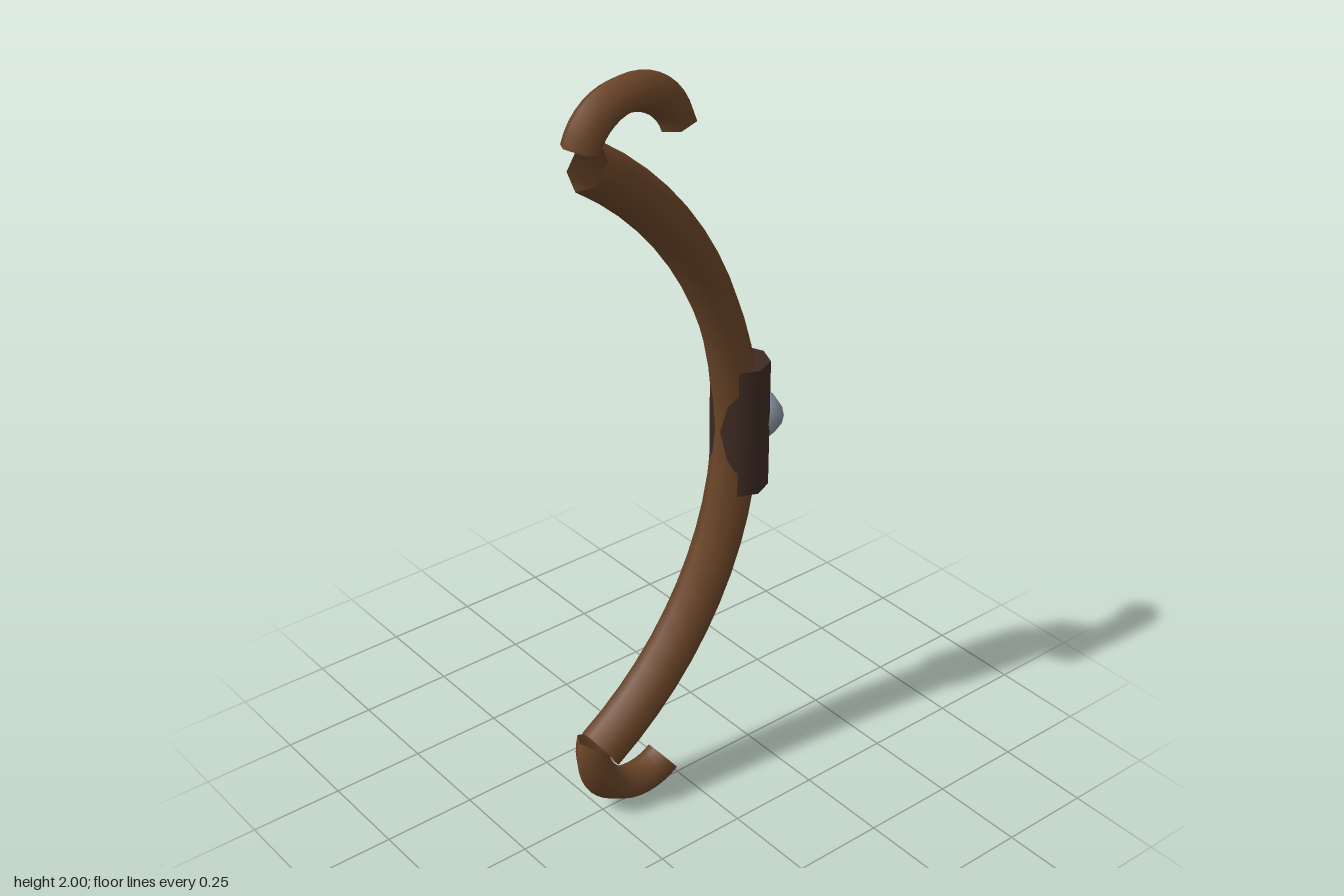
import * as THREE from 'three';

const wood = new THREE.MeshStandardMaterial({ color: 0x6b4528, side: THREE.DoubleSide });
const leather = new THREE.MeshStandardMaterial({ color: 0x3e2a22 });
const stone = new THREE.MeshStandardMaterial({ color: 0x8a93a0 });

const MID = 1.005; // height of the grip

export function createModel() {
  const group = new THREE.Group();

  const add = (name, geometry, material, x, y) => {
    const mesh = new THREE.Mesh(geometry, material);
    mesh.name = name;
    mesh.position.set(x, y, 0);
    group.add(mesh);
    return mesh;
  };

  // Hexagonal open-ended arc in the xy plane, starting at the given angle
  const addArc = (name, x, y, radius, tube, segments, start, sweep) => {
    const mesh = add(name, new THREE.TorusGeometry(radius, tube, 6, segments, sweep), wood, x, y);
    mesh.rotation.z = start;
  };

  // Curved bow stave
  addArc('stave', -0.77, MID, 0.956, 0.0625, 24, -1, 2);

  // Curled tips
  addArc('upperTip', -0.135, 1.809, 0.143, 0.048, 16, 0.3, 2.54);
  addArc('lowerTip', -0.135, 0.191, 0.143, 0.048, 16, Math.PI - 0.3, 2.52);

  // Octagonal grip wrap
  add('grip', new THREE.CylinderGeometry(0.075, 0.075, 0.35, 8), leather, 0.2, MID);

  // Round stone set in the outer side of the grip
  add('gripStone', new THREE.SphereGeometry(0.062, 8, 8), stone, 0.265, MID);

  return group;
}
